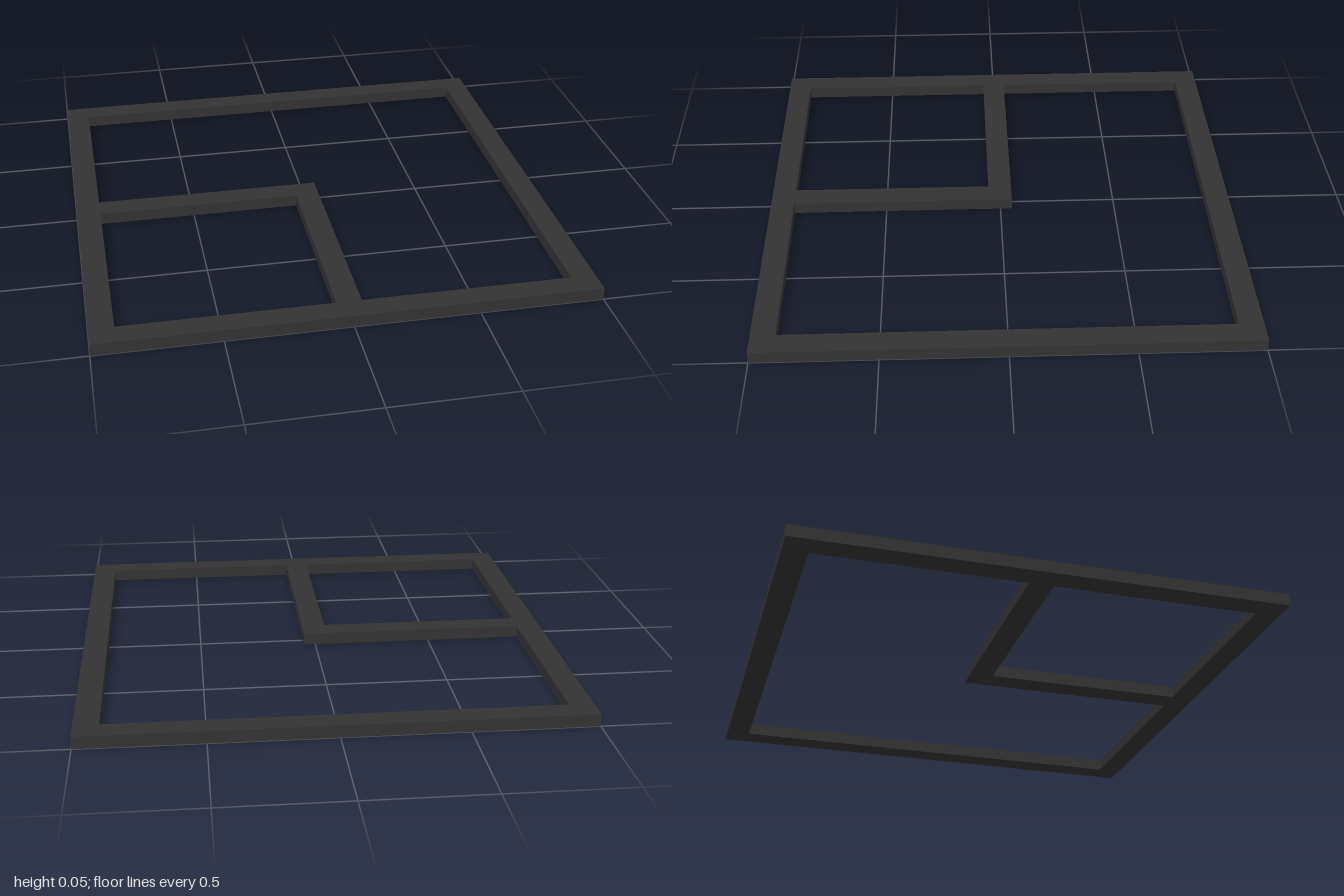
import * as THREE from 'three';

const HEIGHT = 0.05;

// Closed outline from [x, z] corners; z is flipped because the slab is laid flat later
const outline = (Type, corners) => new Type(corners.map(([x, z]) => new THREE.Vector2(x, -z)));

export function createModel() {
  const charcoal = new THREE.MeshStandardMaterial({ color: 0x333333 });
  charcoal.name = 'charcoal';

  // Outer square
  const shape = outline(THREE.Shape, [[-1, 1], [1, 1], [1, -1], [-1, -1]]);

  // L-shaped opening and the small square opening in the front right corner
  shape.holes.push(
    outline(THREE.Path, [[-0.9, -0.9], [0.9, -0.9], [0.9, 0.9], [0.05, 0.9], [0.05, -0.05], [-0.9, -0.05]]),
    outline(THREE.Path, [[-0.9, 0.05], [-0.05, 0.05], [-0.05, 0.9], [-0.9, 0.9]]),
  );

  // Extrude upward and lay flat on the ground
  const geometry = new THREE.ExtrudeGeometry(shape, { depth: HEIGHT, bevelEnabled: false });
  geometry.rotateX(-Math.PI / 2);

  const frame = new THREE.Mesh(geometry, charcoal);
  frame.name = 'frame';

  const group = new THREE.Group();
  group.name = 'squareFrame';
  group.add(frame);
  return group;
}
